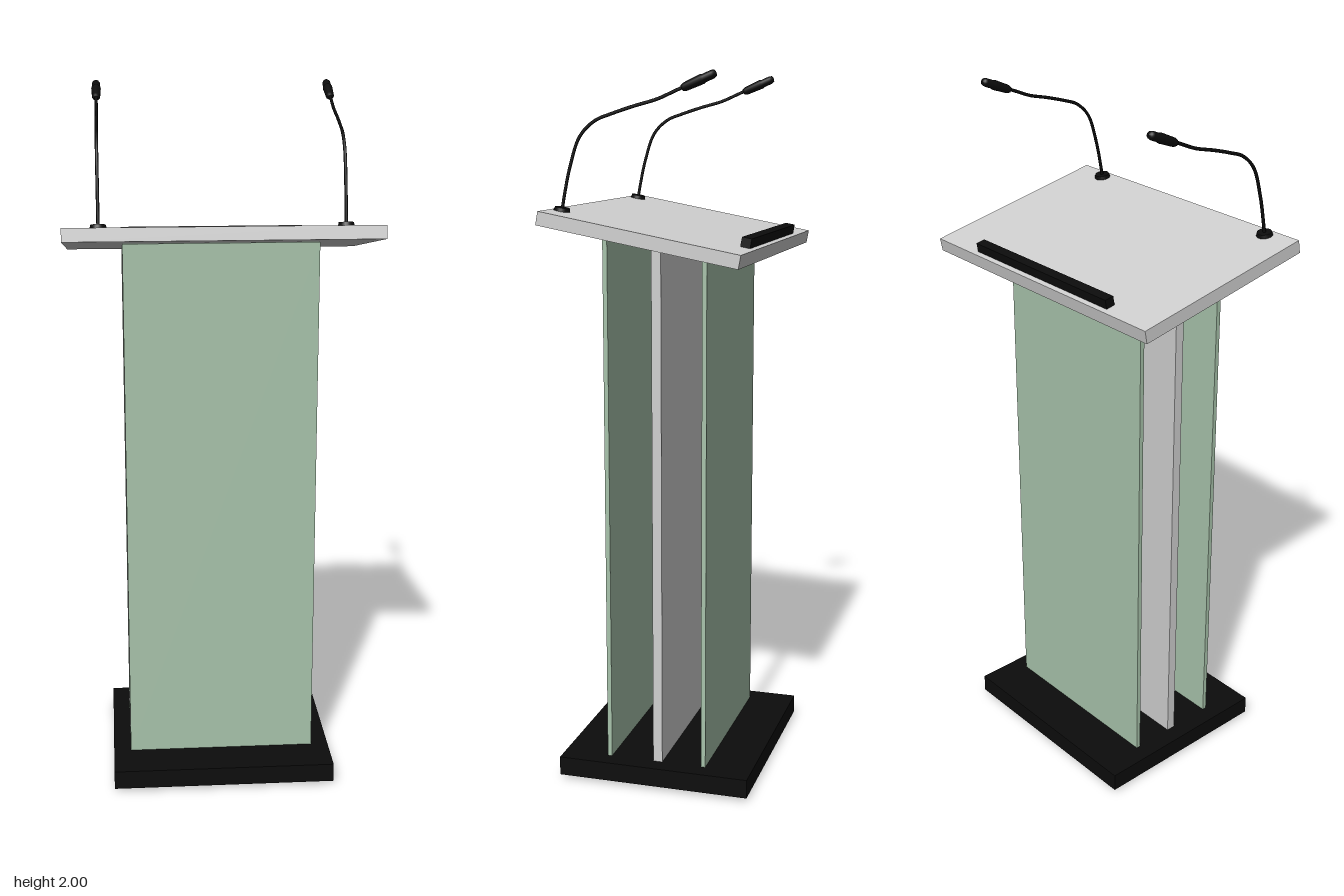
import * as THREE from 'three';

const material = (name, color) => {
  const m = new THREE.MeshStandardMaterial({ color });
  m.name = name;
  return m;
};

export function createModel() {
  const lectern = new THREE.Group();
  lectern.name = 'lectern';
  const black = material('black', 0x0c0c0c);
  const lightGrey = material('light grey', 0xd0d0d0);
  const glass = material('green glass', 0xa8c3ab);

  const add = (name, geometry, mat, x, y, z, parent = lectern) => {
    const mesh = new THREE.Mesh(geometry, mat);
    mesh.name = name;
    mesh.position.set(x, y, z);
    parent.add(mesh);
    return mesh;
  };
  const box = (name, w, h, d, mat, x, y, z, parent) =>
    add(name, new THREE.BoxGeometry(w, h, d), mat, x, y, z, parent);

  // Base plate on four low feet
  box('basePlate', 0.64, 0.054, 0.556, black, 0, 0.038, 0);
  for (const x of [-0.27, 0.27])
    for (const z of [-0.243, 0.243]) box('foot', 0.055, 0.013, 0.026, black, x, 0.0065, z);

  // Upright panels, each reaching up to the sloping desk
  const upright = (name, depth, mat, z, top) =>
    box(name, 0.54, top - 0.06, depth, mat, 0, (top + 0.06) / 2, z);
  upright('frontPanel', 0.013, glass, 0.142, 1.578);
  upright('backPanel', 0.013, glass, -0.138, 1.53);
  upright('centreBoard', 0.027, lightGrey, -0.003, 1.555);

  // Sloping desk, high at the front, with a paper stop along the low edge
  const slope = 0.182;
  const desk = new THREE.Group();
  desk.name = 'desk';
  desk.position.y = 1.571;
  desk.rotation.x = -slope;
  lectern.add(desk);
  box('deskTop', 0.86, 0.037, 0.556, lightGrey, 0, 0, 0, desk);
  box('paperStop', 0.54, 0.027, 0.027, black, 0, 0.031, -0.249, desk);

  // Microphones: mounting disc, bent stem and capsule
  const stemCurve = new THREE.CatmullRomCurve3([
    [1.625, 0.243], [1.67, 0.235], [1.75, 0.217], [1.83, 0.188], [1.87, 0.146],
    [1.888, 0.1], [1.907, 0.04], [1.925, -0.025], [1.944, -0.07], [1.957, -0.1],
  ].map(([y, z]) => new THREE.Vector3(0, y, z)));
  const stem = new THREE.TubeGeometry(stemCurve, 48, 0.0045, 8);
  const capsule = new THREE.LatheGeometry([
    [0, 0], [0.008, 0], [0.0115, 0.008], [0.0135, 0.058], [0.0115, 0.063],
    [0.0115, 0.088], [0.009, 0.096], [0, 0.099],
  ].map(([r, y]) => new THREE.Vector2(r, y)), 16);
  for (const x of [-0.333, 0.325]) {
    const microphone = new THREE.Group();
    microphone.name = 'microphone';
    microphone.position.x = x;
    lectern.add(microphone);
    const disc = add('micMount', new THREE.CylinderGeometry(0.02, 0.023, 0.012, 24), black, 0, 1.638, 0.241, microphone);
    disc.rotation.x = -slope;
    add('micStem', stem, black, 0, 0, 0, microphone);
    const head = add('micCapsule', capsule, black, 0, 1.952, -0.092, microphone);
    head.rotation.x = -Math.PI / 2 + 0.4;
  }
  return lectern;
}
